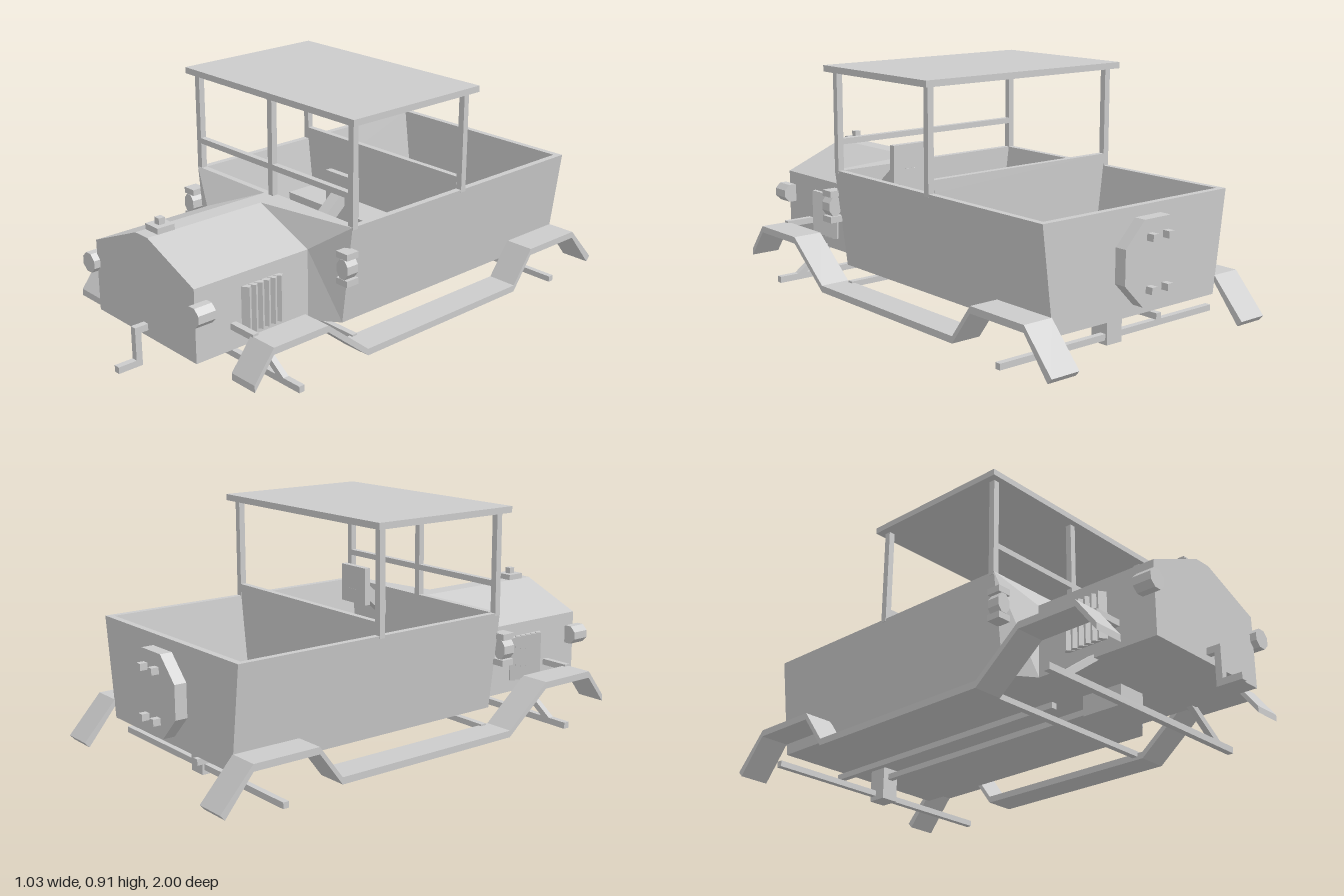
import * as THREE from 'three';

const material = new THREE.MeshStandardMaterial({ color: 0xcccccc, flatShading: true });

function add(parent, name, geometry) {
  const mesh = new THREE.Mesh(geometry, material);
  mesh.name = name;
  parent.add(mesh);
  return mesh;
}

// Box given by its extents on each axis
function box(parent, name, [x0, x1], [y0, y1], [z0, z1]) {
  const mesh = add(parent, name, new THREE.BoxGeometry(x1 - x0, y1 - y0, z1 - z0));
  mesh.position.set((x0 + x1) / 2, (y0 + y1) / 2, (z0 + z1) / 2);
  return mesh;
}

// Square bar between two points
function bar(parent, name, a, b, size) {
  const from = new THREE.Vector3(...a), to = new THREE.Vector3(...b);
  const mesh = add(parent, name, new THREE.BoxGeometry(size, size, from.distanceTo(to)));
  mesh.position.copy(from).add(to).multiplyScalar(0.5);
  mesh.lookAt(to);
  return mesh;
}

// Skin over matching convex loops, capped at both ends
function loft(loops) {
  const out = [];
  const tri = (a, b, c) => out.push(...a, ...b, ...c);
  for (let k = 0; k + 1 < loops.length; k++) {
    const a = loops[k], b = loops[k + 1], n = a.length;
    for (let i = 0; i < n; i++) {
      const j = (i + 1) % n;
      tri(a[i], a[j], b[j]);
      tri(a[i], b[j], b[i]);
    }
  }
  const first = loops[0], last = loops[loops.length - 1];
  for (let i = 1; i + 1 < first.length; i++) {
    tri(first[0], first[i + 1], first[i]);
    tri(last[0], last[i], last[i + 1]);
  }
  const geometry = new THREE.BufferGeometry();
  geometry.setAttribute('position', new THREE.Float32BufferAttribute(out, 3));
  geometry.computeVertexNormals();
  return geometry;
}

const rect = (y, w, front, back) => [[w, y, front], [w, y, back], [-w, y, back], [-w, y, front]];

// Symmetric section from its right half, bottom to top
const section = (z, half) => [
  ...half.map(([x, y]) => [x, y, z]),
  ...half.slice().reverse().map(([x, y]) => [-x, y, z]),
];

// Bent strip forming front fender, running board and rear fender
function fenderGeometry() {
  const line = [[0.805, 0.125], [0.72, 0.235], [0.477, 0.235], [0.287, 0.08],
    [-0.51, 0.08], [-0.605, 0.208], [-0.87, 0.208], [-1, 0.065]];
  const under = line.map(([z, y]) => [z, y - 0.026]).reverse();
  under[0] = [-0.982, 0.045];
  const shape = new THREE.Shape([...line, ...under].map(p => new THREE.Vector2(...p)));
  const geometry = new THREE.ExtrudeGeometry(shape, { depth: 0.12, bevelEnabled: false });
  return geometry.rotateY(-Math.PI / 2).translate(0.06, 0, 0);
}

// Octagonal disc facing along z, flat side up
const octagon = (radius, depth) =>
  new THREE.CylinderGeometry(radius, radius, depth, 8).rotateY(Math.PI / 8).rotateX(Math.PI / 2);

export function createModel() {
  const model = new THREE.Group();
  model.name = 'openTopTruck';

  // Hollow body with leaning sides
  add(model, 'bodyTub', loft([
    rect(0.13, 0.39, 0.295, -0.87), rect(0.51, 0.44, 0.295, -0.87),
    rect(0.51, 0.415, 0.27, -0.845), rect(0.15, 0.367, 0.27, -0.845),
  ]));

  // Bonnet flaring into the cowl
  const hoodHalf = [[0.29, 0.13], [0.29, 0.405], [0.035, 0.51]];
  add(model, 'hoodAndCowl', loft([
    section(0.295, [[0.39, 0.13], [0.44, 0.51], [0.035, 0.51]]),
    section(0.37, hoodHalf), section(0.87, hoodHalf),
  ]));
  box(model, 'radiatorCapBase', [-0.036, 0.036], [0.505, 0.532], [0.755, 0.827]);
  box(model, 'radiatorCapKnob', [-0.013, 0.013], [0.53, 0.556], [0.778, 0.804]);

  // Cabin interior
  add(model, 'cabinPartition', loft([
    rect(0.145, 0.368, -0.263, -0.287), rect(0.51, 0.414, -0.263, -0.287),
    rect(0.557, 0.416, -0.263, -0.287),
  ]));
  add(model, 'benchSeat', loft([
    rect(0.145, 0.367, -0.13, -0.27), rect(0.31, 0.388, -0.13, -0.27),
  ]));
  box(model, 'steeringWheel', [0.14, 0.29], [0.46, 0.61], [0.12, 0.145]);
  bar(model, 'steeringColumn', [0.215, 0.535, 0.135], [0.215, 0.41, 0.285], 0.048);

  // Roof and windscreen frame
  box(model, 'roof', [-0.467, 0.467], [0.886, 0.91], [-0.312, 0.318]);
  for (const s of [1, -1]) {
    for (const z of [0.282, -0.275]) {
      box(model, 'roofPost', [s * 0.428 - 0.0125, s * 0.428 + 0.0125], [0.5, 0.89], [z - 0.012, z + 0.012]);
    }
  }
  box(model, 'windscreenPost', [-0.0125, 0.0125], [0.5, 0.89], [0.27, 0.294]);
  box(model, 'windscreenRail', [-0.42, 0.42], [0.61, 0.632], [0.27, 0.294]);

  for (const s of [1, -1]) {
    const side = new THREE.Group();
    side.name = s > 0 ? 'leftSide' : 'rightSide';
    model.add(side);

    add(side, 'fenderAndRunningBoard', fenderGeometry()).position.x = s * 0.456 + 0.06;
    side.children[0].position.x = s * 0.456 + 0.06 - 0.06;
    side.children[0].geometry.center();
    side.children[0].position.set(s * 0.456, 0.13, -0.0975);
    // Fender bracket and axle strut
    bar(side, 'fenderBracket', [s * 0.28, 0.221, 0.71], [s * 0.41, 0.221, 0.71], 0.024);
    bar(side, 'axleStrut', [s * 0.27, 0.142, 0.6], [s * 0.43, 0.028, 0.6], 0.024);

    // Headlamp
    add(side, 'headlamp', octagon(0.039, 0.073)).position.set(s * 0.308, 0.318, 0.859);

    // Bonnet louvres
    for (let i = 0; i < 6; i++) {
      const slat = add(side, 'hoodLouvre', new THREE.BoxGeometry(0.035, 0.175, 0.02));
      slat.position.set(s * 0.295, 0.267, 0.515 + i * 0.0285);
      slat.rotation.y = s * 0.6;
    }

    // Cowl lamp held between two blocks
    const lamp = add(side, 'cowlLamp', octagon(0.04, 0.05));
    lamp.scale.x = 0.74;
    lamp.position.set(s * 0.441, 0.368, 0.32);
    for (const y of [0.318, 0.418]) {
      box(side, 'cowlLampBlock', [s * 0.438 - 0.028, s * 0.438 + 0.028], [y - 0.012, y + 0.012], [0.29, 0.345]);
    }
  }

  // Starting crank
  const crankWidth = [-0.0125, 0.0125];
  box(model, 'crankShaft', crankWidth, [0.155, 0.18], [0.86, 0.925]);
  box(model, 'crankArm', crankWidth, [0.03, 0.18], [0.9, 0.925]);
  box(model, 'crankHandle', crankWidth, [0.03, 0.055], [0.9, 1]);

  // Running gear beneath the floor
  box(model, 'frontAxle', [-0.516, 0.516], [0.015, 0.04], [0.588, 0.612]);
  box(model, 'rearAxle', [-0.516, 0.516], [0.017, 0.04], [-0.757, -0.734]);
  box(model, 'runningBoardBar', [-0.41, 0.41], [0.055, 0.077], [0.24, 0.264]);
  box(model, 'gearbox', [-0.062, 0.062], [0.053, 0.135], [0.375, 0.545]);
  box(model, 'differential', [-0.036, 0.036], [0, 0.13], [-0.765, -0.69]);
  box(model, 'driveShaft', [-0.012, 0.012], [0.083, 0.106], [-0.7, 0.4]);
  box(model, 'exhaustPipe', [-0.142, -0.118], [0.083, 0.106], [-0.85, 0.3]);

  // Spare wheel with four bolts
  const spare = new THREE.Group();
  spare.name = 'spareWheel';
  spare.position.set(-0.012, 0.33, -0.918);
  model.add(spare);
  add(spare, 'spareDisc', octagon(0.162, 0.046));
  for (const x of [-0.038, 0.038]) {
    for (const y of [-0.09, 0.09]) {
      box(spare, 'wheelBolt', [x - 0.0125, x + 0.0125], [y - 0.0125, y + 0.0125], [-0.052, 0.052]);
    }
  }

  return model;
}
